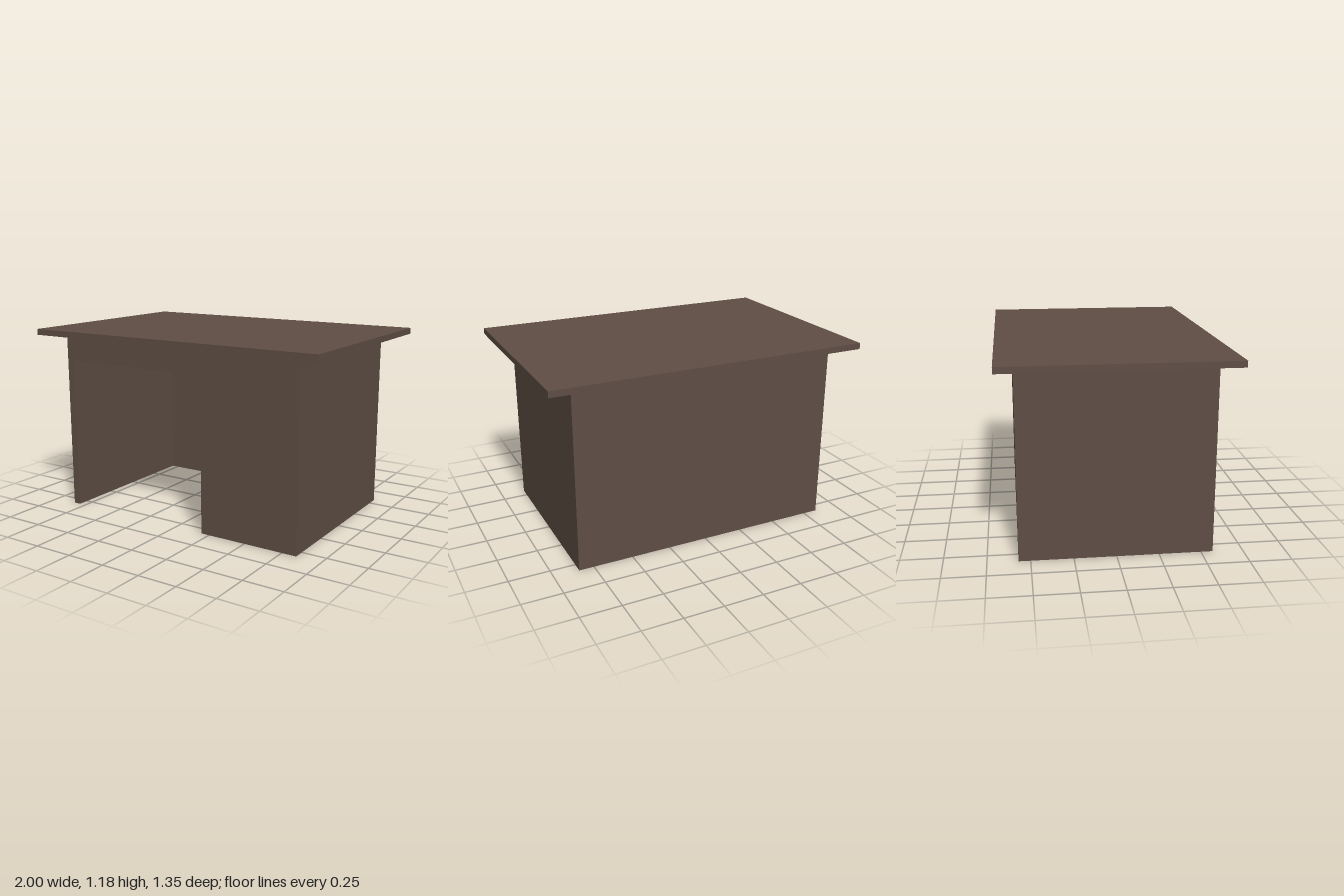
import * as THREE from 'three';

export function createModel() {
  const group = new THREE.Group();
  const wood = new THREE.MeshStandardMaterial({ color: 0x5f4e45 });
  wood.name = 'dark brown wood';

  const add = (name, geometry, x, y, z) => {
    const mesh = new THREE.Mesh(geometry, wood);
    mesh.name = name;
    mesh.position.set(x, y, z);
    group.add(mesh);
  };

  const halfW = 0.843, halfD = 0.57, bodyH = 1.14, topH = 0.038;
  const backT = 0.083;
  const kneeL = -0.795, kneeR = 0.195, kneeH = 0.975;

  // Desk body: front elevation with the knee space cut out, pulled through the depth
  const profile = new THREE.Shape([
    [-halfW, 0], [kneeL, 0], [kneeL, kneeH], [kneeR, kneeH],
    [kneeR, 0], [halfW, 0], [halfW, bodyH], [-halfW, bodyH],
  ].map(([x, y]) => new THREE.Vector2(x, y)));
  add('deskBody', new THREE.ExtrudeGeometry(profile, { depth: 2 * halfD - backT, bevelEnabled: false }),
    0, 0, -halfD + backT);

  // Panel closing the back of the knee space
  add('backPanel', new THREE.BoxGeometry(2 * halfW, bodyH, backT), 0, bodyH / 2, -halfD + backT / 2);

  // Overhanging top
  add('desktop', new THREE.BoxGeometry(2, topH, 1.35), 0, bodyH + topH / 2, 0);

  return group;
}
